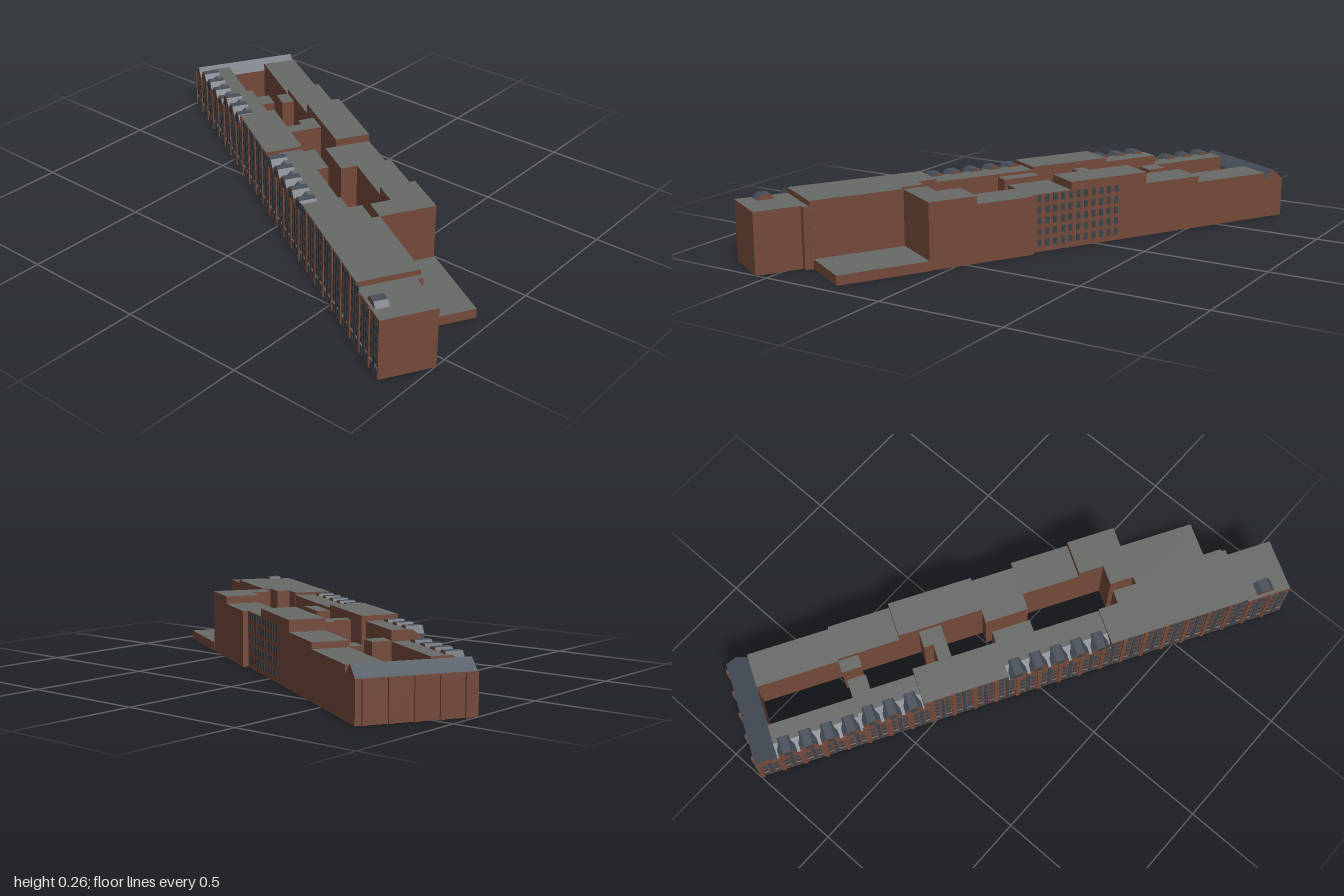
import * as THREE from 'three';
import { mergeGeometries } from 'three/addons/utils/BufferGeometryUtils.js';

const mat = (color) => new THREE.MeshStandardMaterial({ color, flatShading: true, side: THREE.DoubleSide });

export function createModel() {
  const brick = mat(0x74493a), roof = mat(0x686a68), slate = mat(0x474f5a);
  const glass = mat(0x37434d), stone = mat(0x8a6f62);
  const model = new THREE.Group();
  model.name = 'cityBlock';

  // Local frame: x (s) runs along the street, z = -t where t is depth behind the street front.
  const block = new THREE.Group();
  block.name = 'rotatedBlock';
  block.rotation.y = -Math.PI / 6;
  block.position.set(-0.998, 0, -0.36);
  model.add(block);

  const add = (name, geo, material) => {
    const m = new THREE.Mesh(geo, material);
    m.name = name;
    block.add(m);
  };
  const boxGeo = (s0, s1, t0, t1, y0, y1) =>
    new THREE.BoxGeometry(s1 - s0, y1 - y0, t1 - t0)
      .translate((s0 + s1) / 2, (y0 + y1) / 2, -(t0 + t1) / 2);
  const extrude = (points, depth) =>
    new THREE.ExtrudeGeometry(new THREE.Shape(points.map((p) => new THREE.Vector2(...p))),
      { depth, bevelEnabled: false });

  // Mansard sections of the street wing: [s0, s1, depth, eave, top, dormers]
  const mansards = [
    [0.09, 0.43, 0.13, 0.165, 0.197, 4],
    [0.43, 0.68, 0.13, 0.2, 0.237, 3],
    [1.02, 1.44, 0.148, 0.214, 0.246, 5],
  ];

  // Floor plan: [name, s0, s1, t0, t1, height, hasPitchedRoof]
  const cells = [
    ['endHouse', 0, 0.09, 0, 0.435, 0.155, true],
    ['rearWing', 0.09, 0.42, 0.294, 0.435, 0.187],
    ['rearWing', 0.42, 0.67, 0.294, 0.435, 0.212],
    ['rearWing', 0.67, 1.01, 0.294, 0.435, 0.257],
    ['rearWing', 1.01, 1.185, 0.25, 0.435, 0.226],
    ['rearWing', 1.185, 1.42, 0.316, 0.457, 0.226],
    ['rearWing', 1.42, 1.52, 0.316, 0.457, 0.257],
    ['rearWing', 1.52, 1.615, 0.235, 0.457, 0.257],
    ['lowExtension', 1.615, 1.975, 0.235, 0.46, 0.038],
    ['courtyardWing', 0.42, 0.5, 0.243, 0.294, 0.19],
    ['courtyardWing', 0.43, 0.505, 0.13, 0.205, 0.2],
    ['courtyardWing', 0.75, 0.84, 0.227, 0.294, 0.23],
    ['courtyardWing', 0.787, 0.84, 0.148, 0.227, 0.23],
    ['courtyardWing', 1.02, 1.175, 0.148, 0.202, 0.235],
    ['streetWing', 0.68, 1.02, 0, 0.148, 0.258],
    ['streetWing', 1.44, 1.52, 0, 0.15, 0.258],
    ['streetWing', 1.52, 1.615, 0, 0.204, 0.258],
    ['streetWing', 1.615, 1.985, 0, 0.235, 0.258],
    ['streetWing', 1.985, 2.188, 0, 0.212, 0.237],
    ['streetWing', 1.985, 2.008, 0.212, 0.234, 0.237],
  ];
  mansards.forEach(([s0, s1, depth, eave, top]) => cells.push(
    ['mansardFront', s0, s1, 0, 0.05, eave, true],
    ['mansardWing', s0, s1, 0.05, depth, top]));

  const heightAt = (s, t) => Math.max(0, ...cells
    .filter((c) => s > c[1] && s < c[2] && t > c[3] && t < c[4]).map((c) => c[5]));

  // Hollow shell: each wall rises only from its neighbour's roof to its own
  for (const [name, s0, s1, t0, t1, h, pitched] of cells) {
    const walls = [];
    const sides = [[0, s0, -1, t0, t1], [0, s1, 1, t0, t1], [1, t0, -1, s0, s1], [1, t1, 1, s0, s1]];
    for (const [axis, line, out, a, b] of sides) {
      const inner = cells.flatMap((c) => axis ? [c[1], c[2]] : [c[3], c[4]]).filter((v) => v > a && v < b);
      const cuts = [...new Set([a, ...inner, b])].sort((p, q) => p - q);
      for (let i = 1; i < cuts.length; i++) {
        const mid = (cuts[i - 1] + cuts[i]) / 2, beyond = line + out * 0.0005;
        const base = axis ? heightAt(mid, beyond) : heightAt(beyond, mid);
        if (base >= h) continue;
        const wall = new THREE.PlaneGeometry(cuts[i] - cuts[i - 1], h - base)
          .rotateY(axis ? (out > 0 ? Math.PI : 0) : out * Math.PI / 2);
        walls.push(axis ? wall.translate(mid, (h + base) / 2, -line) : wall.translate(line, (h + base) / 2, -mid));
      }
    }
    if (walls.length) add(name + 'Walls', mergeGeometries(walls), brick);
    if (!pitched) add(name + 'Roof', new THREE.PlaneGeometry(s1 - s0, t1 - t0).rotateX(-Math.PI / 2)
      .translate((s0 + s1) / 2, h, -(t0 + t1) / 2), roof);
  }

  // Gabled end house roof and end piers
  add('endHouseRoof', extrude([[0, 0.155], [0.09, 0.155], [0.047, 0.197]], 0.435)
    .translate(0, 0, -0.435), [brick, slate]);
  for (let i = 0; i < 5; i++) {
    const t = 0.028 + i * 0.092;
    add('endPier', boxGeo(-0.008, 0.002, t, t + 0.016, 0, 0.152), brick);
  }

  // Dormer: broad hipped-top profile running back from the street
  const dormer = (s, w, y0, y1) => {
    const low = y0 + (y1 - y0) * 0.4;
    add('dormer', extrude([[-w, y0], [w, y0], [w, low], [w * 0.45, y1], [-w * 0.45, y1], [-w, low]], 0.066)
      .translate(s, 0, -0.066), [brick, slate]);
    add('dormerWindow', boxGeo(s - w * 0.4, s + w * 0.4, -0.002, 0.004, y0 + 0.004, y1 - 0.01), glass);
  };
  for (const [s0, s1, , eave, top, n] of mansards) {
    add('mansardSlope', extrude([[0, eave], [-0.05, eave], [-0.05, top]], s1 - s0)
      .rotateY(-Math.PI / 2).translate(s1, 0, 0), [brick, slate]);
    const pitch = (s1 - s0) / n;
    for (let i = 0; i < n; i++) dormer(s0 + pitch * (i + 0.5), pitch * 0.42, eave, top + 0.01);
  }
  add('roofHouse', extrude([[2.055, 0.237], [2.125, 0.237], [2.108, 0.257], [2.072, 0.257]], 0.052)
    .translate(0, 0, -0.064), [brick, slate]);

  // Street front: piers, windows, sills and stair strips in equal bays
  const bays = 25, bay = 2.188 / bays;
  const panes = [], piers = [], sills = [];
  for (let b = 0; b < bays; b++) {
    const s = b * bay, h = heightAt(s + bay / 2, 0.01);
    piers.push(boxGeo(s, s + 0.014, -0.005, 0.002, 0, heightAt(s + 0.007, 0.01) - 0.002));
    panes.push(boxGeo(s + 0.044, s + 0.058, -0.002, 0.002, 0.004, h - 0.01));
    for (const o of [0.02, 0.064]) {
      sills.push(boxGeo(s + o, s + o + 0.017, -0.003, 0.002, 0.043, 0.047));
      for (let y = 0.012; y + 0.03 < h; y += 0.043)
        panes.push(boxGeo(s + o, s + o + 0.017, -0.002, 0.002, y, y + 0.026));
    }
  }
  add('streetWindows', mergeGeometries(panes), glass);
  add('streetPiers', mergeGeometries(piers), brick);
  add('windowSills', mergeGeometries(sills), stone);

  // Window grid in the rear wall
  const rear = [];
  for (let i = 0; i < 11; i++)
    for (let j = 0; j < 5; j++) {
      const s = 0.8 + i * 0.034, y = 0.022 + j * 0.043;
      rear.push(boxGeo(s, s + 0.017, 0.433, 0.4365, y, y + 0.027));
    }
  add('rearWindows', mergeGeometries(rear), glass);

  return model;
}
